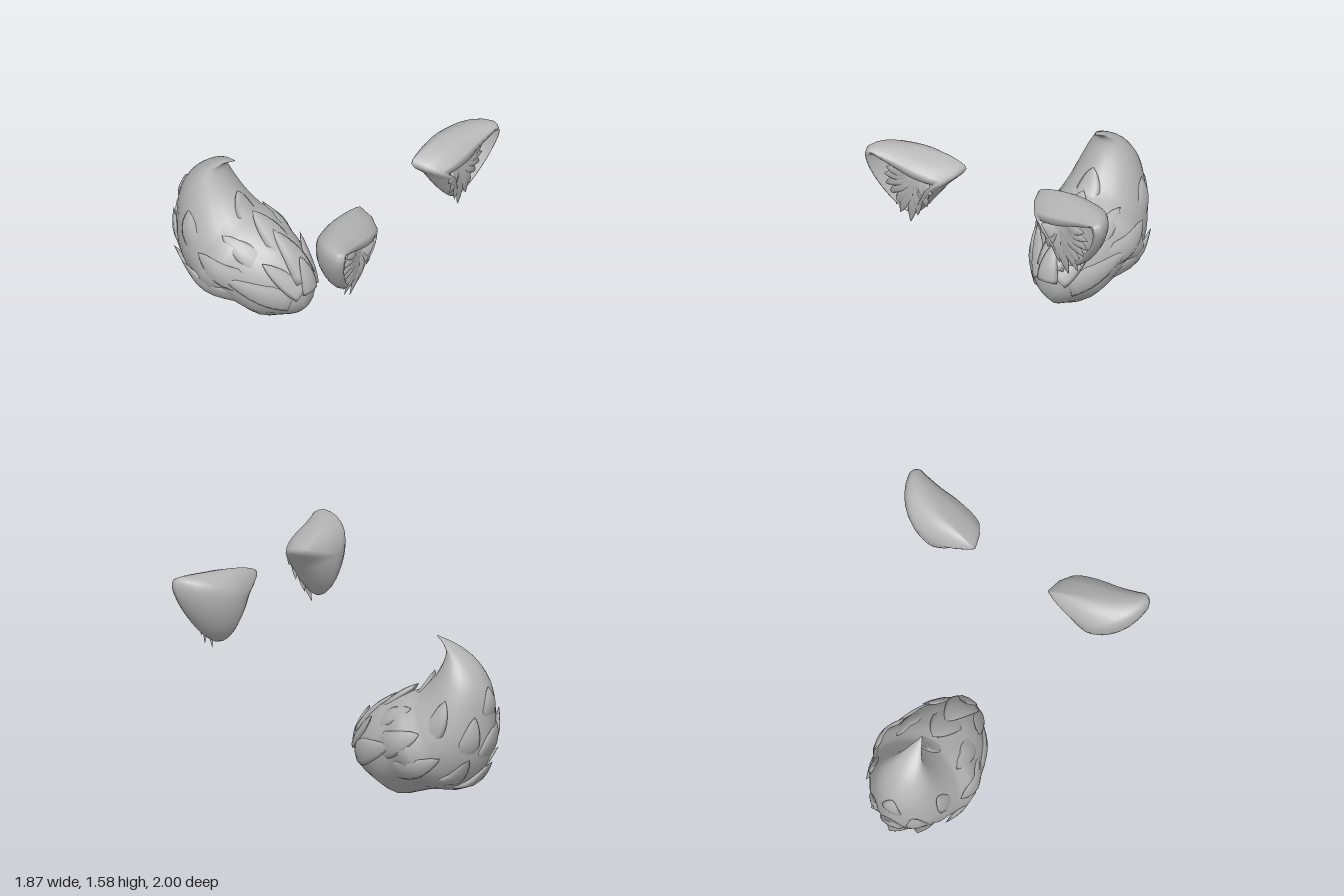
import * as THREE from 'three';

const V = (x, y, z) => new THREE.Vector3(x, y, z);
const fur = new THREE.MeshStandardMaterial({ color: 0xb4b4b4 });
fur.name = 'greyFur';

// Closed smooth skin through equal-length rings of points, faces turned outward
function loft(rings) {
  const n = rings[0].length, idx = [], pts = rings.flat();
  const centre = ring => ring.reduce((s, p) => s.add(p), V(0, 0, 0)).divideScalar(n);
  const first = pts.push(centre(rings[0])) - 1;
  const last = pts.push(centre(rings[rings.length - 1])) - 1;
  const end = (rings.length - 1) * n;
  for (let j = 0; j < n; j++) {
    const k = (j + 1) % n;
    idx.push(first, k, j, last, end + j, end + k);
    for (let i = 0; i < end; i += n) {
      idx.push(i + j, i + k, i + n + j, i + k, i + n + k, i + n + j);
    }
  }
  const o = pts[first], a = V(0, 0, 0), b = V(0, 0, 0), c = V(0, 0, 0);
  let volume = 0;
  for (let i = 0; i < idx.length; i += 3) {
    a.subVectors(pts[idx[i]], o); b.subVectors(pts[idx[i + 1]], o); c.subVectors(pts[idx[i + 2]], o);
    volume += a.dot(b.cross(c));
  }
  if (volume < 0) idx.reverse();
  const g = new THREE.BufferGeometry().setFromPoints(pts);
  g.setIndex(idx);
  g.computeVertexNormals();
  return g;
}

function add(group, geometry, name) {
  const mesh = new THREE.Mesh(geometry, fur);
  mesh.name = name;
  group.add(mesh);
}

// Flattened lock of fur along a curve: broad root, pointed tip, facing the given normal
function tuft(points, width, thickness, normal) {
  const curve = new THREE.CatmullRomCurve3(points), rings = [];
  for (let i = 0; i <= 8; i++) {
    const t = i / 8, p = curve.getPoint(t), dir = curve.getTangent(t);
    const side = dir.clone().cross(normal).normalize(), up = side.clone().cross(dir);
    const w = Math.max(0.001, width * Math.pow(1 - t, 0.8) * (0.85 + 0.9 * t));
    const ring = [];
    for (let j = 0; j < 8; j++) {
      const a = j * Math.PI / 4;
      ring.push(p.clone().addScaledVector(side, Math.cos(a) * w)
        .addScaledVector(up, Math.sin(a) * w * thickness));
    }
    rings.push(ring);
  }
  return loft(rings);
}

// Tail sections: inner edge z, y, outer edge z, y, half width
const SECTIONS = [
  [0.10, 0.31, 0.07, 0.19, 0.05], [0.09, 0.42, 0.00, 0.11, 0.12],
  [0.02, 0.51, -0.12, 0.05, 0.20], [-0.12, 0.64, -0.23, 0.004, 0.28],
  [-0.28, 0.72, -0.48, 0.075, 0.335], [-0.42, 0.78, -0.76, 0.13, 0.335],
  [-0.50, 0.86, -0.92, 0.36, 0.28], [-0.56, 0.94, -0.95, 0.62, 0.225],
  [-0.60, 1.02, -0.93, 0.82, 0.17], [-0.61, 1.08, -0.83, 0.99, 0.105],
  [-0.58, 1.12, -0.67, 1.105, 0.05], [-0.52, 1.155, -0.53, 1.16, 0.002]];
const LAST = SECTIONS.length - 1;
const inner = new THREE.CatmullRomCurve3(SECTIONS.map(s => V(-0.02, s[1], s[0])));
const outer = new THREE.CatmullRomCurve3(SECTIONS.map(s => V(-0.02, s[3], s[2])));
const widths = new THREE.CatmullRomCurve3(SECTIONS.map(s => V(s[4], 0, 0)));

// Point on the tail: section number, angle (90 inner ridge, -90 outer ridge), scale from core
function tailPoint(row, degrees, scale = 1) {
  const t = row / LAST, a = THREE.MathUtils.degToRad(degrees), c = Math.cos(a);
  const top = inner.getPoint(t), low = outer.getPoint(t);
  const p = top.clone().lerp(low, 0.5);
  p.addScaledVector(top.sub(low), 0.5 * Math.sin(a) * scale);
  // The underside narrows to a keel, fading out toward the raised end
  const keel = Math.sin(a) < 0 ? 0.45 * THREE.MathUtils.clamp(6 - row, 0, 1) : 0;
  p.x += widths.getPoint(t).x * c * Math.pow(Math.abs(c), 0.15 + keel) * scale;
  return p;
}

function makeTail() {
  const tail = new THREE.Group();
  tail.name = 'tail';
  const rings = [];
  for (let i = 0; i <= 33; i++) {
    rings.push(Array.from({ length: 24 }, (_, j) => tailPoint(i / 3, j * 15)));
  }
  add(tail, loft(rings), 'tailBody');

  // Overlapping locks: start section, tip section, angle, tip lift, half width
  const locks = [
    [0.4, 2.2, 90, 1.2, 0.09], [1.4, 3.6, 90, 1.06, 0.12], [2.6, 4.8, 90, 1.1, 0.13],
    [4.2, 6.4, 90, 1.1, 0.11], [1.0, 3.1, 45, 1.14, 0.09], [2.8, 5.0, 45, 1.04, 0.1],
    [1.4, 4.0, 8, 1.07, 0.11], [3.2, 5.3, 12, 1.07, 0.11], [3.4, 5.5, -22, 1.1, 0.1],
    [5.0, 7.0, 5, 1.06, 0.1], [4.0, 6.0, -52, 1.12, 0.11], [5.3, 7.2, -48, 1.12, 0.1],
    [4.3, 6.1, -90, 1.16, 0.12], [5.5, 7.2, -90, 1.24, 0.12], [6.9, 8.3, -90, 1.12, 0.09]];
  for (const [start, tip, angle, lift, width] of locks) {
    for (const a of Math.abs(angle) === 90 ? [angle] : [angle, 180 - angle]) {
      const mid = (start + tip) / 2;
      const path = [tailPoint(start, a, 0.8), tailPoint(mid, a, 0.96), tailPoint(tip, a, lift)];
      const normal = tailPoint(mid, a).sub(tailPoint(mid, a, 0)).normalize();
      add(tail, tuft(path, width, 0.35, normal), 'tailLock');
    }
  }
  return tail;
}

// Ear outline: silhouette x, y, z then edge of the hollow x, y, z
const EAR = [
  [0.935, 1.49, 0.94, 0.885, 1.50, 1.00], [0.905, 1.38, 0.91, 0.86, 1.39, 0.975],
  [0.825, 1.24, 0.87, 0.79, 1.27, 0.94], [0.72, 1.12, 0.83, 0.70, 1.16, 0.90],
  [0.61, 1.06, 0.81, 0.61, 1.10, 0.87], [0.53, 1.13, 0.81, 0.55, 1.18, 0.90],
  [0.45, 1.25, 0.80, 0.50, 1.28, 0.93], [0.375, 1.365, 0.78, 0.46, 1.36, 0.945],
  [0.285, 1.48, 0.71, 0.42, 1.405, 0.92], [0.36, 1.525, 0.72, 0.48, 1.42, 0.945],
  [0.50, 1.555, 0.76, 0.58, 1.44, 0.965], [0.70, 1.57, 0.83, 0.70, 1.475, 0.97],
  [0.86, 1.57, 0.90, 0.82, 1.515, 0.985], [0.92, 1.55, 0.94, 0.87, 1.53, 0.995]];

function makeEar(side) {
  const ear = new THREE.Group();
  ear.name = side > 0 ? 'leftEar' : 'rightEar';
  const closed = k => {
    const curve = new THREE.CatmullRomCurve3(EAR.map(e => V(side * e[k], e[k + 1], e[k + 2])), true);
    return Array.from({ length: 42 }, (_, i) => curve.getPoint(i / 42));
  };
  const rim = closed(0), edge = closed(3);
  const back = V(side * 0.59, 1.38, 0.63), hollow = V(side * 0.64, 1.36, 0.77);
  const rings = [];

  // Domed back, rounder toward its middle
  for (let i = 1; i <= 8; i++) {
    const a = i * Math.PI / 16, round = 0.5 * (1 - i / 8);
    rings.push(rim.map(p => {
      const q = p.clone().sub(back).setZ(0);
      q.setLength(THREE.MathUtils.lerp(q.length(), 0.25, round) * Math.sin(a)).add(back);
      q.z += (THREE.MathUtils.lerp(p.z, 0.83, round) - back.z) * (1 - Math.cos(a));
      return q;
    }));
  }
  // Rings between two loops or a loop and a point, with z eased separately
  const bridge = (loop, target, steps) => {
    for (const [t, tz] of steps) {
      rings.push(loop.map((p, i) => {
        const q = p.clone().lerp(target(i), t);
        q.z = THREE.MathUtils.lerp(p.z, target(i).z, tz);
        return q;
      }));
    }
  };
  bridge(rim, i => edge[i], [[0.2, 0.5], [0.6, 0.9], [1, 1]]);
  bridge(edge, () => hollow, [[0.08, 0.35], [0.25, 0.65], [0.6, 0.9], [0.95, 1]]);
  add(ear, loft(rings), 'earShell');

  // Inner fur: tips fan outward and down from roots along the inner edge
  const tips = [[0.78, 1.43], [0.80, 1.36], [0.79, 1.28], [0.76, 1.21], [0.72, 1.12], [0.69, 1.06],
    [0.61, 1.01], [0.55, 1.09], [0.47, 1.2], [0.46, 1.27], [0.42, 1.32]];
  tips.forEach(([x, y], i) => {
    const tip = V(side * x, y, 0.86 + (y - 1.02) * 0.18);
    const s = i / (tips.length - 1);
    const root = V(side * (0.60 - 0.09 * s), 1.43 - 0.04 * s, 0.89);
    const mid = tip.clone().lerp(root, 0.45);
    mid.z += 0.02;
    add(ear, tuft([root, mid, tip], 0.055, 0.3, V(0, 0, 1)), 'earFur');
  });
  return ear;
}

export function createModel() {
  const model = new THREE.Group();
  model.name = 'earsAndTail';
  model.add(makeTail(), makeEar(1));

  // The right ear is tilted slightly about its middle
  const right = makeEar(-1), tilt = new THREE.Group();
  tilt.name = 'rightEarTilt';
  right.position.set(0.62, -1.33, 0);
  tilt.position.set(-0.625, 1.335, -0.01);
  tilt.rotation.z = -0.05;
  tilt.add(right);
  model.add(tilt);
  return model;
}
